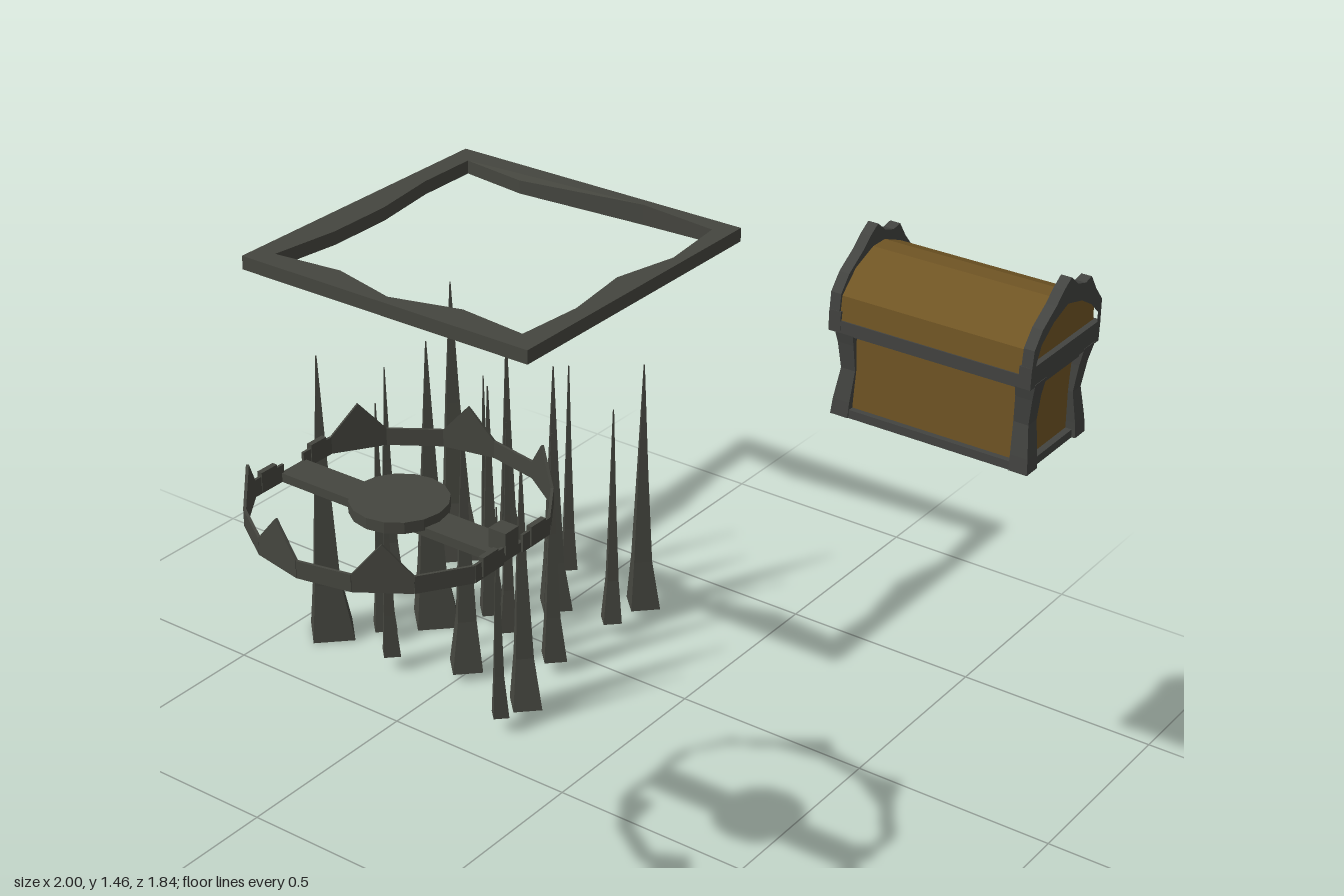
import * as THREE from 'three';

const mat = (name, color, side = THREE.FrontSide) => {
  const m = new THREE.MeshStandardMaterial({ color, flatShading: true, side });
  m.name = name;
  return m;
};

export function createModel() {
  const iron = mat('dark iron', 0x45463f, THREE.DoubleSide);
  const trim = mat('chest trim', 0x424340);
  const wood = mat('chest wood', 0x705524);
  const root = new THREE.Group();

  const group = (name, parent = root) => {
    const g = new THREE.Group();
    g.name = name;
    parent.add(g);
    return g;
  };
  const add = (parent, name, geo, material) => {
    const m = new THREE.Mesh(geo, material);
    m.name = name;
    parent.add(m);
    return m;
  };
  // Box from minimum and maximum corners
  const box = (parent, name, material, x0, x1, y0, y1, z0, z1) => {
    const m = add(parent, name, new THREE.BoxGeometry(x1 - x0, y1 - y0, z1 - z0), material);
    m.position.set((x0 + x1) / 2, (y0 + y1) / 2, (z0 + z1) / 2);
    return m;
  };
  const shapeOf = pts => new THREE.Shape(pts.map(p => new THREE.Vector2(p[0], p[1])));
  const extrude = (shape, depth) => new THREE.ExtrudeGeometry(shape, { depth, bevelEnabled: false });
  // Profile given as [z, y], extruded along x
  const extrudeX = (pts, x0, x1, hole) => {
    const s = shapeOf(pts.map(([z, y]) => [-z, y]));
    if (hole) s.holes.push(shapeOf(hole.map(([z, y]) => [-z, y])));
    return extrude(s, x1 - x0).rotateY(Math.PI / 2).translate(x0, 0, 0);
  };
  // Four-sided loft through rings [y, centre x, centre z, radius], turned by angle
  const loft = (rings, angle) => {
    const pos = [], idx = [];
    for (const [y, cx, cz, r] of rings)
      for (let k = 0; k < 4; k++) {
        const a = angle + k * Math.PI / 2;
        pos.push(cx + r * Math.sin(a), y, cz + r * Math.cos(a));
      }
    for (let i = 0; i < rings.length - 1; i++)
      for (let k = 0; k < 4; k++) {
        const a = i * 4 + k, b = i * 4 + (k + 1) % 4;
        idx.push(a, b, b + 4, a, b + 4, a + 4);
      }
    const t = (rings.length - 1) * 4;
    idx.push(0, 2, 1, 0, 3, 2, t, t + 1, t + 2, t, t + 2, t + 3);
    const g = new THREE.BufferGeometry();
    g.setAttribute('position', new THREE.Float32BufferAttribute(pos, 3));
    g.setIndex(idx);
    const flat = g.toNonIndexed();
    flat.computeVertexNormals();
    return flat;
  };

  // Pit frame: square slab with a ragged opening
  const opening = [[-0.945, -0.86], [-0.76, -0.835], [-0.4, -0.86], [-0.205, -0.87], [-0.185, -0.68],
    [-0.225, -0.51], [-0.2, -0.32], [-0.215, -0.14], [-0.4, -0.16], [-0.58, -0.11], [-0.76, -0.155],
    [-0.945, -0.135], [-0.92, -0.32], [-0.92, -0.5], [-0.945, -0.69]];
  const slab = shapeOf([[-1, 0.08], [-0.155, 0.08], [-0.155, 0.92], [-1, 0.92]]);
  slab.holes.push(shapeOf(opening.map(([x, z]) => [x, -z])));
  const frameGeo = extrude(slab, 0.035).rotateX(-Math.PI / 2).translate(0, 1.03, 0);
  // Raise one corner of the back lip
  const fp = frameGeo.attributes.position;
  for (let i = 0; i < fp.count; i++)
    if (fp.getY(i) > 1.05 && Math.hypot(fp.getX(i) + 0.4, fp.getZ(i) + 0.86) < 0.01) fp.setY(i, 1.083);
  frameGeo.computeVertexNormals();
  add(root, 'pitFrame', frameGeo, iron);

  // Spikes: flared foot, then a long thin point; [x, z, radius]
  const spikes = group('spikes');
  [[-0.89, -0.73, 0.075], [-0.77, -0.795, 0.04], [-0.57, -0.785, 0.03], [-0.325, -0.78, 0.053],
    [-0.725, -0.64, 0.025], [-0.5, -0.64, 0.053], [-0.325, -0.64, 0.033], [-0.605, -0.51, 0.043],
    [-0.89, -0.455, 0.038], [-0.725, -0.43, 0.077], [-0.505, -0.445, 0.03], [-0.34, -0.42, 0.04],
    [-0.77, -0.28, 0.04], [-0.895, -0.22, 0.075], [-0.5, -0.27, 0.053], [-0.665, -0.18, 0.03],
    [-0.275, -0.22, 0.05], [-0.275, -0.12, 0.027]].forEach(([x, z, r], i) => {
    const y0 = Math.max(0, 0.07 - 0.9 * r), top = 0.52 + 3.5 * r, h = top - y0;
    const lx = (i % 4 === 0 ? -0.3 : -0.08) * r, lz = (i % 2 ? 0.12 : -0.12) * r;
    add(spikes, 'spike', loft([[y0, x, z, r], [y0 + h * 0.2, x + lx * 0.7, z + lz, r * 0.62],
      [y0 + h * 0.57, x + lx, z + lz, r * 0.33], [top, x + lx, z + lz, 0.002]], 0), iron);
  });

  // Jaw trap: two half rings whose alternate segments rise into teeth
  const trap = group('jawTrap');
  trap.position.set(0.055, 1.03, 0.608);
  for (const s of [1, -1]) {
    const jaw = group(s > 0 ? 'frontJaw' : 'backJaw', trap);
    const pts = [[-0.282, 0.03 * s]];
    for (let k = -3; k <= 3; k++) {
      const a = k * Math.PI / 8;
      pts.push([0.305 * Math.sin(a), 0.305 * Math.cos(a) * s]);
    }
    pts.push([0.282, 0.03 * s]);
    for (let i = 0; i < pts.length - 1; i++) {
      const [ax, az] = pts[i], [bx, bz] = pts[i + 1];
      const len = Math.hypot(bx - ax, bz - az);
      const outline = [[0, 0], [len, 0], [len, 0.038]];
      if (i === 1 || i === 3 || i === 5) outline.push([len / 2, 0.105]);
      outline.push([0, 0.038]);
      const seg = add(jaw, 'jawSegment', extrude(shapeOf(outline), 0.006).translate(0, 0, -0.003), iron);
      seg.position.set(ax, 0, az);
      seg.rotation.y = -Math.atan2(bz - az, bx - ax);
    }
    // Hinge lugs at both ends of the jaw
    for (const e of [1, -1])
      box(trap, 'hingeLug', iron, e * 0.283 - 0.006, e * 0.283 + 0.006, 0.005, 0.047, s * 0.075 - 0.023, s * 0.075 + 0.023);
  }
  box(trap, 'strap', iron, -0.283, 0.28, 0, 0.02, -0.037, 0.037);
  add(trap, 'triggerPlate', new THREE.CylinderGeometry(0.102, 0.102, 0.025, 16), iron).position.y = 0.027;
  box(trap, 'catch', iron, 0.24, 0.282, 0.015, 0.062, -0.02, 0.02);

  // Chest body
  const chest = group('chest');
  box(chest, 'body', wood, 0.555, 0.975, 1.07, 1.28, -0.45, -0.242);
  for (const [cx, sx] of [[0.555, 1], [0.978, -1]])
    for (const [cz, sz] of [[-0.245, -1], [-0.45, 1]]) {
      const ring = (y, inset, r) => [y, cx + sx * inset, cz + sz * inset, r * Math.SQRT2];
      add(chest, 'cornerPost', loft([ring(1.065, 0, 0.021), ring(1.1, 0.002, 0.02),
        ring(1.17, 0.009, 0.017), ring(1.23, 0.004, 0.019), ring(1.27, 0, 0.023)], Math.PI / 4), trim);
    }
  // Bottom and upper rails, front and back then both ends
  for (const [z0, z1] of [[-0.25, -0.228], [-0.467, -0.442]]) {
    box(chest, 'bottomRail', trim, 0.545, 0.985, 1.064, 1.083, z0, z1);
    box(chest, 'upperRail', trim, 0.56, 0.97, 1.25, 1.27, z0, z1);
  }
  for (const [x0, x1] of [[0.54, 0.565], [0.965, 0.99]]) {
    box(chest, 'bottomRail', trim, x0, x1, 1.064, 1.083, -0.46, -0.235);
    box(chest, 'upperRail', trim, x0, x1, 1.25, 1.27, -0.46, -0.235);
  }
  // Lid band
  box(chest, 'lidBand', trim, 0.535, 0.995, 1.265, 1.292, -0.489, -0.204);
  for (const [x0, x1] of [[0.532, 0.56], [0.972, 1]])
    box(chest, 'endBand', trim, x0, x1, 1.265, 1.312, -0.49, -0.203);

  // Arched lid
  const arch = [[-0.207, 1.29], [-0.212, 1.345], [-0.26, 1.39], [-0.325, 1.415], [-0.37, 1.415],
    [-0.435, 1.39], [-0.48, 1.345], [-0.486, 1.29]];
  add(chest, 'lid', extrudeX(arch, 0.545, 0.987, null), wood);
  // Jagged trim over each end of the lid
  const jagged = [[-0.203, 1.3], [-0.207, 1.35], [-0.235, 1.385], [-0.285, 1.418], [-0.312, 1.442],
    [-0.34, 1.46], [-0.372, 1.435], [-0.405, 1.425], [-0.43, 1.43], [-0.455, 1.395], [-0.487, 1.36], [-0.49, 1.3]];
  const inner = [[-0.217, 1.31], [-0.235, 1.352], [-0.28, 1.385], [-0.335, 1.405], [-0.395, 1.39],
    [-0.44, 1.365], [-0.474, 1.335], [-0.476, 1.31]];
  for (const [x0, x1] of [[0.532, 0.556], [0.976, 1]])
    add(chest, 'lidEndTrim', extrudeX(jagged, x0, x1, inner), trim);

  // Latch: plate with a hanging loop
  box(chest, 'latchPlate', trim, 0.73, 0.802, 1.235, 1.325, -0.507, -0.44);
  add(chest, 'latchLoop', extrudeX(
    [[-0.495, 1.315], [-0.52, 1.312], [-0.546, 1.27], [-0.538, 1.24], [-0.515, 1.228], [-0.495, 1.25]],
    0.75, 0.782,
    [[-0.506, 1.3], [-0.516, 1.298], [-0.534, 1.268], [-0.529, 1.25], [-0.516, 1.243], [-0.506, 1.256]]), trim);

  return root;
}
